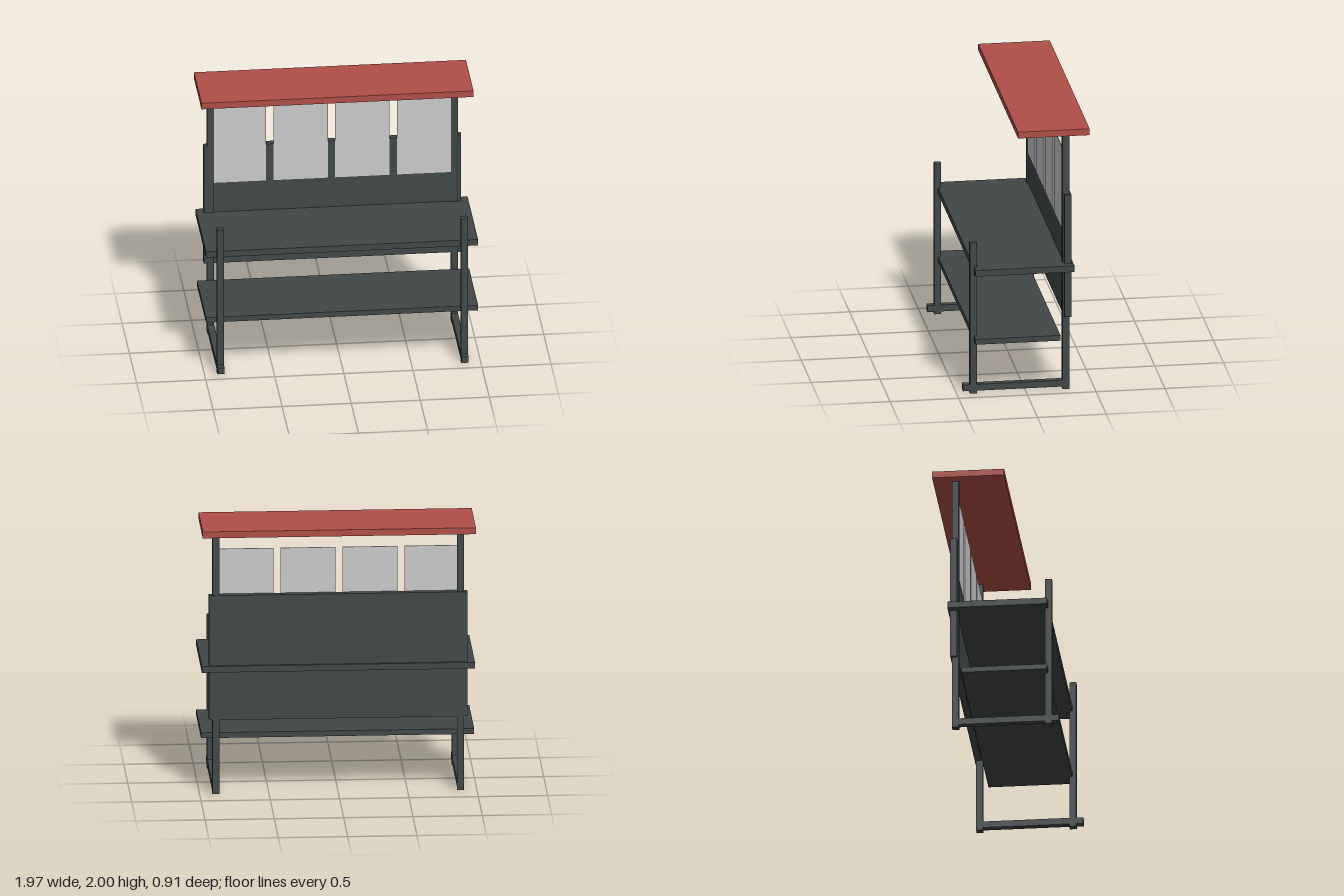
import * as THREE from 'three';

const material = (name, color) => {
  const m = new THREE.MeshStandardMaterial({ color });
  m.name = name;
  return m;
};

export function createModel() {
  const group = new THREE.Group();
  group.name = 'workbench';
  const steel = material('dark steel', 0x414747);
  const red = material('red canopy', 0xb04e47);
  const grey = material('light grey panel', 0xcbcbcb);

  // Box given by its minimum and maximum on each axis
  const slab = (name, mat, [x0, x1], [y0, y1], [z0, z1]) => {
    const mesh = new THREE.Mesh(new THREE.BoxGeometry(x1 - x0, y1 - y0, z1 - z0), mat);
    mesh.position.set((x0 + x1) / 2, (y0 + y1) / 2, (z0 + z1) / 2);
    mesh.name = name;
    group.add(mesh);
  };

  // Side frames: tall rear post, short front post, foot rail
  for (const [side, x] of [['left', 0.883], ['right', -0.883]]) {
    const span = [x - 0.025, x + 0.025];
    slab(side + 'RearPost', steel, span, [0, 1.95], [-0.32, -0.27]);
    slab(side + 'FrontPost', steel, span, [0, 1.145], [0.354, 0.404]);
    slab(side + 'FootRail', steel, span, [0.02, 0.068], [-0.275, 0.455]);
  }

  // Worktop, lower shelf, back board and canopy
  const wide = [-0.985, 0.985];
  slab('worktop', steel, wide, [0.915, 0.962], [-0.345, 0.376]);
  slab('lowerShelf', steel, wide, [0.397, 0.437], [-0.243, 0.376]);
  slab('backBoard', steel, [-0.932, 0.932], [0.555, 1.486], [-0.33, -0.28]);
  slab('canopy', red, wide, [1.952, 2], [-0.455, 0.066]);

  // Row of four thin display panels
  for (let i = 0; i < 4; i++) {
    const x = -0.875 + i * 0.447;
    slab('displayPanel' + (i + 1), grey, [x, x + 0.394], [1.198, 1.822], [-0.279, -0.273]);
  }
  return group;
}
